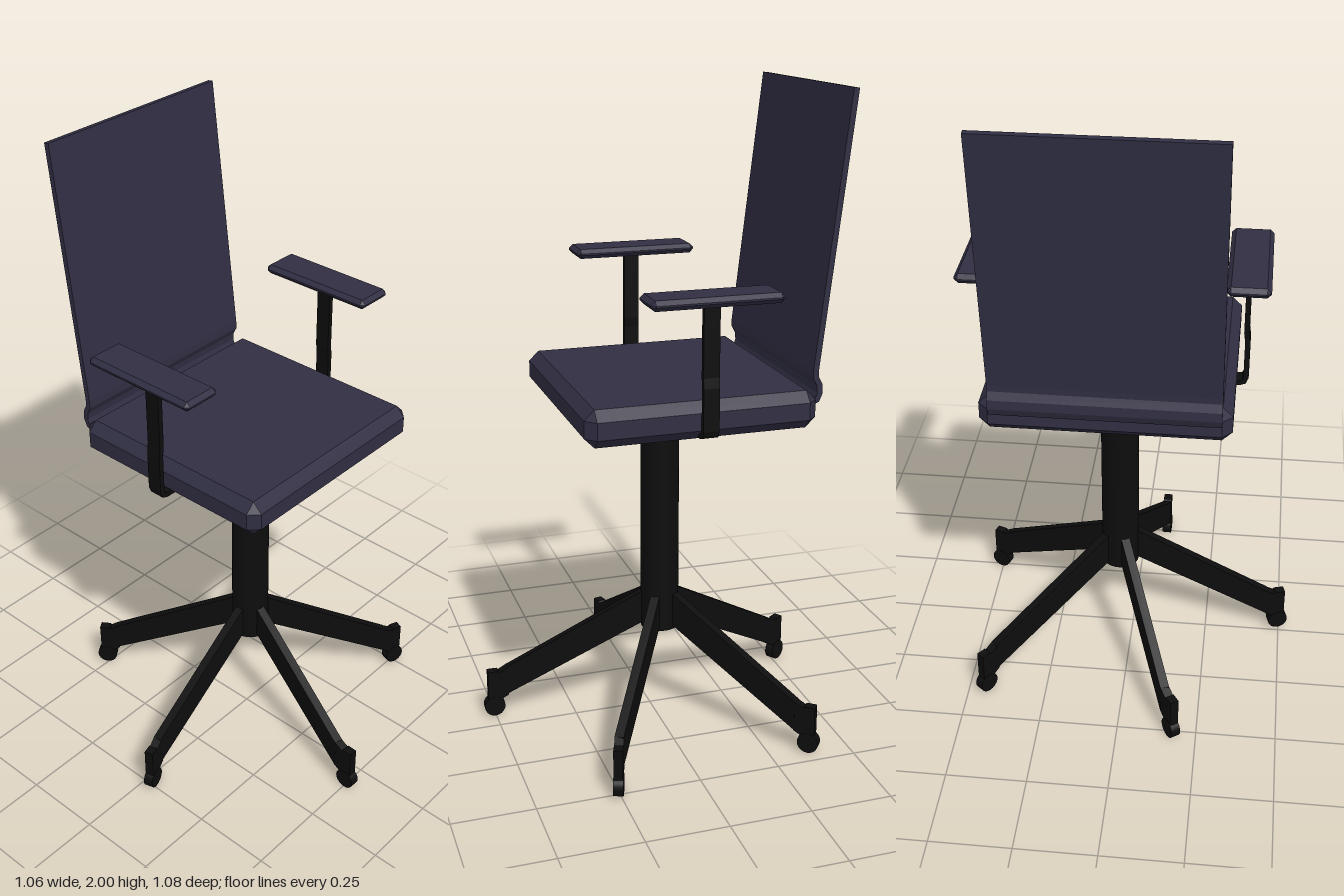
import * as THREE from 'three';
import { ConvexGeometry } from 'three/addons/geometries/ConvexGeometry.js';

const fabric = new THREE.MeshStandardMaterial({ color: 0x302e42 });
const metal = new THREE.MeshStandardMaterial({ color: 0x0d0d0e });
const CX = 0.04, CZ = -0.02; // column axis

function add(parent, name, geometry, material, x = 0, y = 0, z = 0) {
  const mesh = new THREE.Mesh(geometry, material);
  mesh.name = name;
  mesh.position.set(x, y, z);
  parent.add(mesh);
  return mesh;
}

// Box with every edge and corner cut by c
function chamferedBox(w, h, d, c) {
  const points = [];
  for (const sx of [-1, 1]) for (const sy of [-1, 1]) for (const sz of [-1, 1]) {
    for (let full = 0; full < 3; full++) {
      const cut = [0, 1, 2].map((i) => (i === full ? 0 : c));
      points.push(new THREE.Vector3(sx * (w / 2 - cut[0]), sy * (h / 2 - cut[1]), sz * (d / 2 - cut[2])));
    }
  }
  return new ConvexGeometry(points);
}

// Flat outline extruded symmetrically about its plane
function plate(points, depth) {
  const shape = new THREE.Shape(points.map(([x, y]) => new THREE.Vector2(x, y)));
  return new THREE.ExtrudeGeometry(shape, { depth, bevelEnabled: false }).translate(0, 0, -depth / 2);
}

// Bent sheet: a centre line given a thickness, then extruded
function bentSheet(line, thickness, depth) {
  const sides = [[], []];
  line.forEach(([x, y], i) => {
    const a = line[Math.max(i - 1, 0)], b = line[Math.min(i + 1, line.length - 1)];
    const dx = b[0] - a[0], dy = b[1] - a[1], k = thickness / 2 / Math.hypot(dx, dy);
    sides[0].push([x - dy * k, y + dx * k]);
    sides[1].unshift([x + dy * k, y - dx * k]);
  });
  return plate([...sides[0], ...sides[1]], depth);
}

export function createModel() {
  const chair = new THREE.Group();
  chair.name = 'officeChair';

  // Seat cushion
  add(chair, 'seat', chamferedBox(0.73, 0.112, 0.695, 0.03), fabric, 0.045, 1.088, -0.037);

  // Thin leaning backrest with a curl at its foot
  const backLine = [[-0.478, 1.995], [-0.386, 1.2], [-0.386, 1.178], [-0.398, 1.155],
    [-0.4, 1.13], [-0.392, 1.11], [-0.372, 1.103]];
  add(chair, 'backrest', bentSheet(backLine, 0.017, 0.665).rotateY(-Math.PI / 2), fabric, 0.042);

  // Armrests with bent strap supports
  const strapLine = [[0.382, 1.44], [0.382, 1.22], [0.386, 1.19], [0.386, 1.065],
    [0.38, 1.05], [0.366, 1.045], [0.28, 1.045]];
  for (const side of [-1, 1]) {
    const arm = new THREE.Group();
    arm.name = side > 0 ? 'leftArm' : 'rightArm';
    arm.position.x = 0.039;
    add(arm, 'armPad', chamferedBox(0.126, 0.03, 0.388, 0.0125), fabric, side * 0.384, 1.446, -0.047);
    const line = strapLine.map(([x, y]) => [side * x, y]);
    add(arm, 'armSupport', bentSheet(line, 0.016, 0.048), metal, 0, 0, -0.045);
    chair.add(arm);
  }

  // Central column
  add(chair, 'column', new THREE.CylinderGeometry(0.06, 0.06, 0.75, 32), metal, CX, 0.675, CZ);

  // Five sloping legs, each with a slightly turned foot and a wheel
  const legShape = [[0, 0.452], [0.495, 0.165], [0.495, 0.07], [0.06, 0.31], [0, 0.31]];
  const footShape = [[0, 0.167], [0.03, 0.15], [0.034, 0.155], [0.066, 0.155],
    [0.066, 0.05], [0.03, 0.052], [0, 0.069]];
  for (let i = 0; i < 5; i++) {
    const leg = new THREE.Group();
    leg.name = 'leg' + (i + 1);
    leg.position.set(CX, 0, CZ);
    leg.rotation.y = -THREE.MathUtils.degToRad(103.7 + i * 72);
    add(leg, 'legBeam', plate(legShape, 0.028), metal);
    const foot = new THREE.Group();
    foot.name = 'foot';
    foot.position.x = 0.49;
    foot.rotation.y = 0.2;
    add(foot, 'footBlock', plate(footShape, 0.028), metal);
    add(foot, 'wheel', new THREE.CylinderGeometry(0.033, 0.033, 0.03, 20).rotateX(Math.PI / 2), metal, 0.046, 0.033, 0);
    leg.add(foot);
    chair.add(leg);
  }
  return chair;
}
